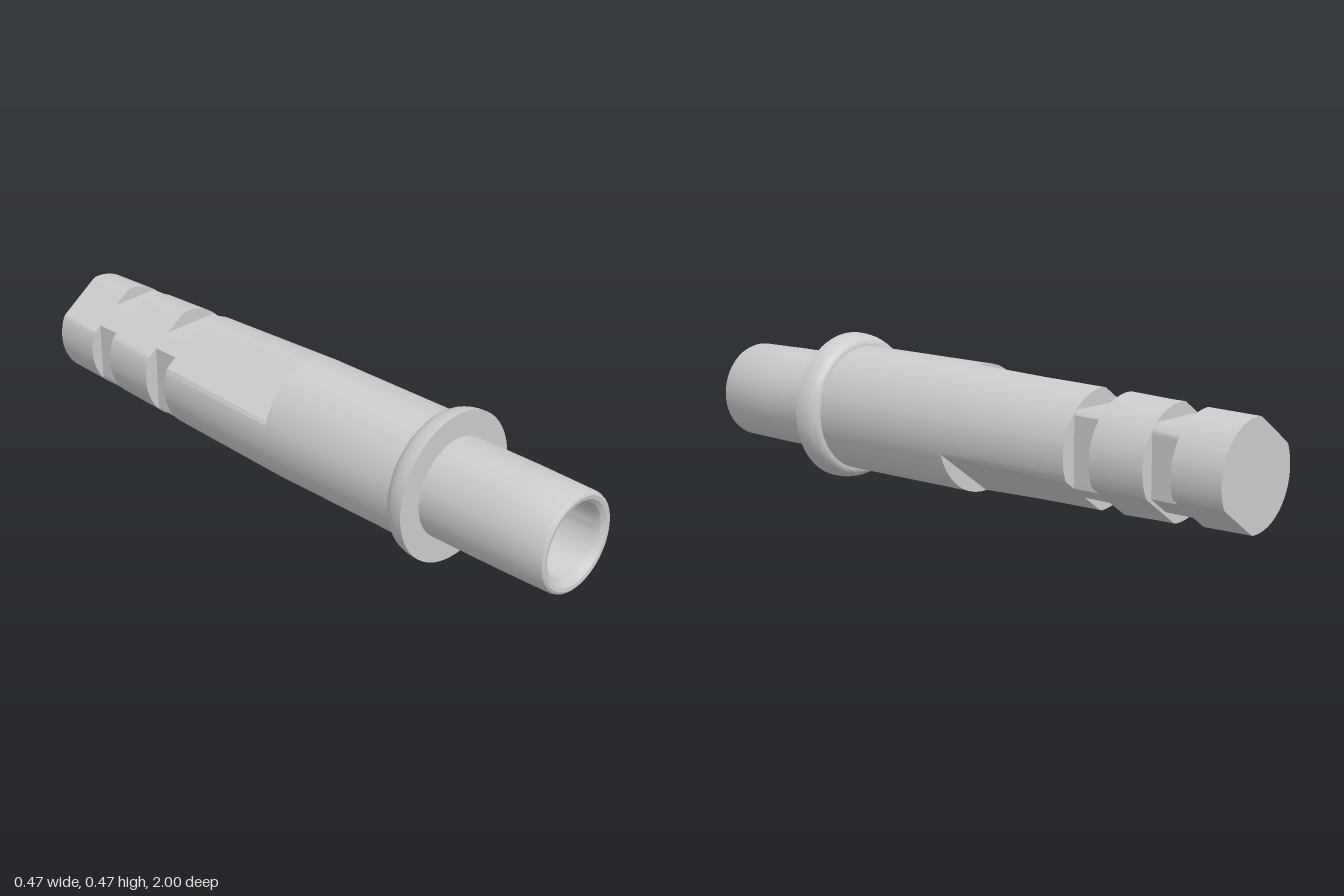
import * as THREE from 'three';
import { toCreasedNormals } from 'three/addons/utils/BufferGeometryUtils.js';

const AXIS_Y = 0.234;                          // height of the pin's long axis
const FLAT = 0.152;                            // distance of the two flats from the axis
const TILT = THREE.MathUtils.degToRad(125);    // direction the upper flat faces
const NECK = 0.131;                            // half width of the squared necks

export function createModel() {
  const group = new THREE.Group();
  const material = new THREE.MeshStandardMaterial({ color: 0xcccccc });
  const { clamp } = THREE.MathUtils;

  function add(name, geometry) {
    const mesh = new THREE.Mesh(toCreasedNormals(geometry, 0.5), material);
    mesh.name = name;
    mesh.position.y = AXIS_Y;
    group.add(mesh);
  }

  // Tapered round section along z, cut by two parallel flats and, for necks, four pockets
  function section(name, zFront, zBack, rFront, rBack, flat = 1, pocket = 1) {
    const g = new THREE.CylinderGeometry(rFront, rBack, zFront - zBack, 96);
    g.rotateX(Math.PI / 2).translate(0, 0, (zFront + zBack) / 2);
    const p = g.attributes.position;
    const nx = Math.cos(TILT), ny = Math.sin(TILT);
    for (let i = 0; i < p.count; i++) {
      const x = p.getX(i), y = p.getY(i);
      const n = x * nx + y * ny;
      const shift = clamp(n, -flat, flat) - n;
      p.setXY(i, clamp(x + shift * nx, -pocket, pocket), clamp(y + shift * ny, -pocket, pocket));
    }
    add(name, g);
  }

  // Profile of [radius, z] pairs turned about the z axis
  function turned(name, profile) {
    const points = profile.map(([r, z]) => new THREE.Vector2(r, z));
    add(name, new THREE.LatheGeometry(points, 72).rotateX(Math.PI / 2));
  }

  // Hollow front tube with rounded lip and blind bore
  turned('frontTube', [
    [0.156, 0.54], [0.156, 0.8], [0.153, 0.985], [0.149, 0.996], [0.142, 1],
    [0.13, 0.998], [0.118, 0.988], [0.112, 0.97], [0.111, 0.6], [0, 0.6],
  ]);

  // Collar: flat front, back swept in to the body
  const collar = [[0.19, 0.49], [0.2, 0.49]];
  for (let i = 1; i <= 8; i++) {
    const a = (i / 8) * Math.PI / 2;
    collar.push([0.2 + 0.033 * Math.sin(a), 0.555 - 0.065 * Math.cos(a)]);
  }
  collar.push([0.233, 0.563], [0.14, 0.563]);
  turned('collar', collar);

  // Main body: round in front, flattened behind the step
  section('bodyFront', 0.5, -0.015, 0.197, 0.196);
  section('bodyRear', -0.01, -0.475, 0.196, 0.181, FLAT);

  // Tail with two squared necks
  section('frontNeck', -0.47, -0.57, 0.178, 0.176, FLAT, NECK);
  section('tailRing', -0.565, -0.747, 0.178, 0.172, FLAT);
  section('rearNeck', -0.74, -0.845, 0.17, 0.168, FLAT - 0.01, NECK);
  section('tailEnd', -0.838, -1, 0.169, 0.164, FLAT - 0.01);

  return group;
}
